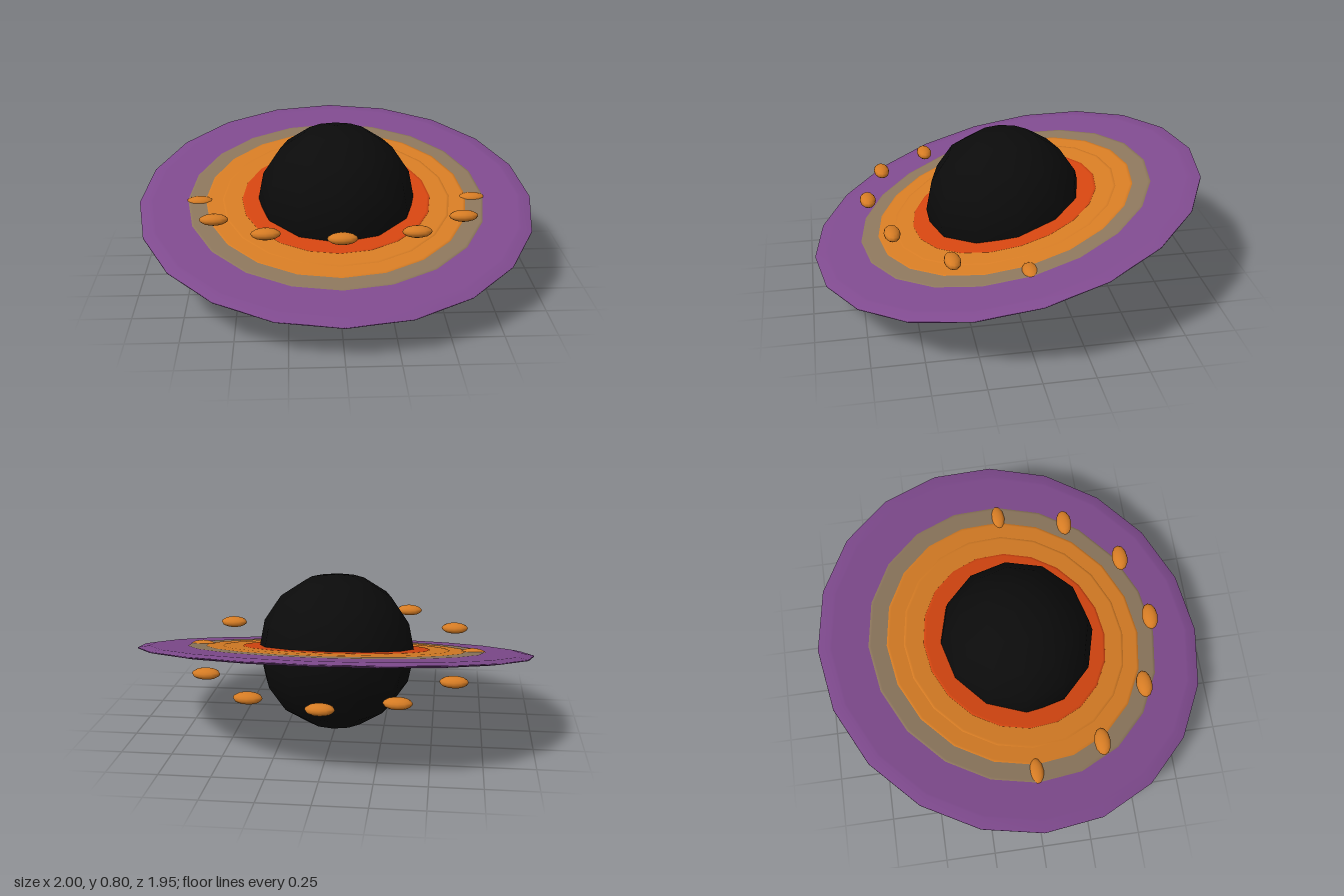
import * as THREE from 'three';

const mat = (name, color) => new THREE.MeshStandardMaterial({ name, color });

export function createModel() {
  const model = new THREE.Group();
  model.name = 'ringedPlanet';
  const black = mat('black', 0x0b0b0b);
  const purple = mat('purple', 0x7f4a8e);
  const taupe = mat('taupe', 0x8c765c);
  const orange = mat('orange', 0xd67c24);
  const red = mat('red', 0xd44510);
  const CENTRE = 0.405;

  // dark globe
  const globe = new THREE.Mesh(new THREE.SphereGeometry(0.4, 12, 8), black);
  globe.name = 'globe';
  globe.position.y = CENTRE;
  model.add(globe);

  // tilted disc made of concentric bands, each with a bevelled outer rim
  const disc = new THREE.Group();
  disc.name = 'ringDisc';
  disc.position.y = CENTRE + 0.003;
  disc.rotation.x = THREE.MathUtils.degToRad(13.1);
  model.add(disc);
  const bands = [
    // name, inner radius, outer radius, half thickness, bevel width, material
    ['innerBand', 0.34, 0.485, 0.0155, 0.006, red],
    ['orangeBandInner', 0.46, 0.585, 0.0145, 0.006, orange],
    ['orangeBandOuter', 0.56, 0.67, 0.0138, 0.006, orange],
    ['taupeBand', 0.64, 0.76, 0.013, 0.006, taupe],
    ['outerBand', 0.73, 1, 0.012, 0.055, purple],
  ];
  for (const [name, inner, outer, h, bevel, material] of bands) {
    const rim = outer - bevel;
    const profile = [
      [inner, -h], [rim - 0.012, -h], [rim, -h], [outer, -0.003],
      [outer, 0.003], [rim, h], [rim - 0.012, h], [inner, h],
    ].map(([x, y]) => new THREE.Vector2(x, y));
    const band = new THREE.Mesh(new THREE.LatheGeometry(profile, 20), material);
    band.name = name;
    disc.add(band);
  }

  // circle of small moons, tilted the other way
  const moons = new THREE.Group();
  moons.name = 'moons';
  moons.position.y = CENTRE + 0.004;
  moons.rotation.x = THREE.MathUtils.degToRad(-6.2);
  model.add(moons);
  const moonShape = new THREE.SphereGeometry(1, 12, 8).scale(0.07, 0.028, 0.04);
  for (let i = 0; i < 12; i++) {
    const a = (i / 12) * Math.PI * 2;
    const moon = new THREE.Mesh(moonShape, orange);
    moon.name = 'moon' + (i + 1);
    moon.position.set(Math.cos(a) * 0.695, 0, Math.sin(a) * 0.695);
    moons.add(moon);
  }
  return model;
}
